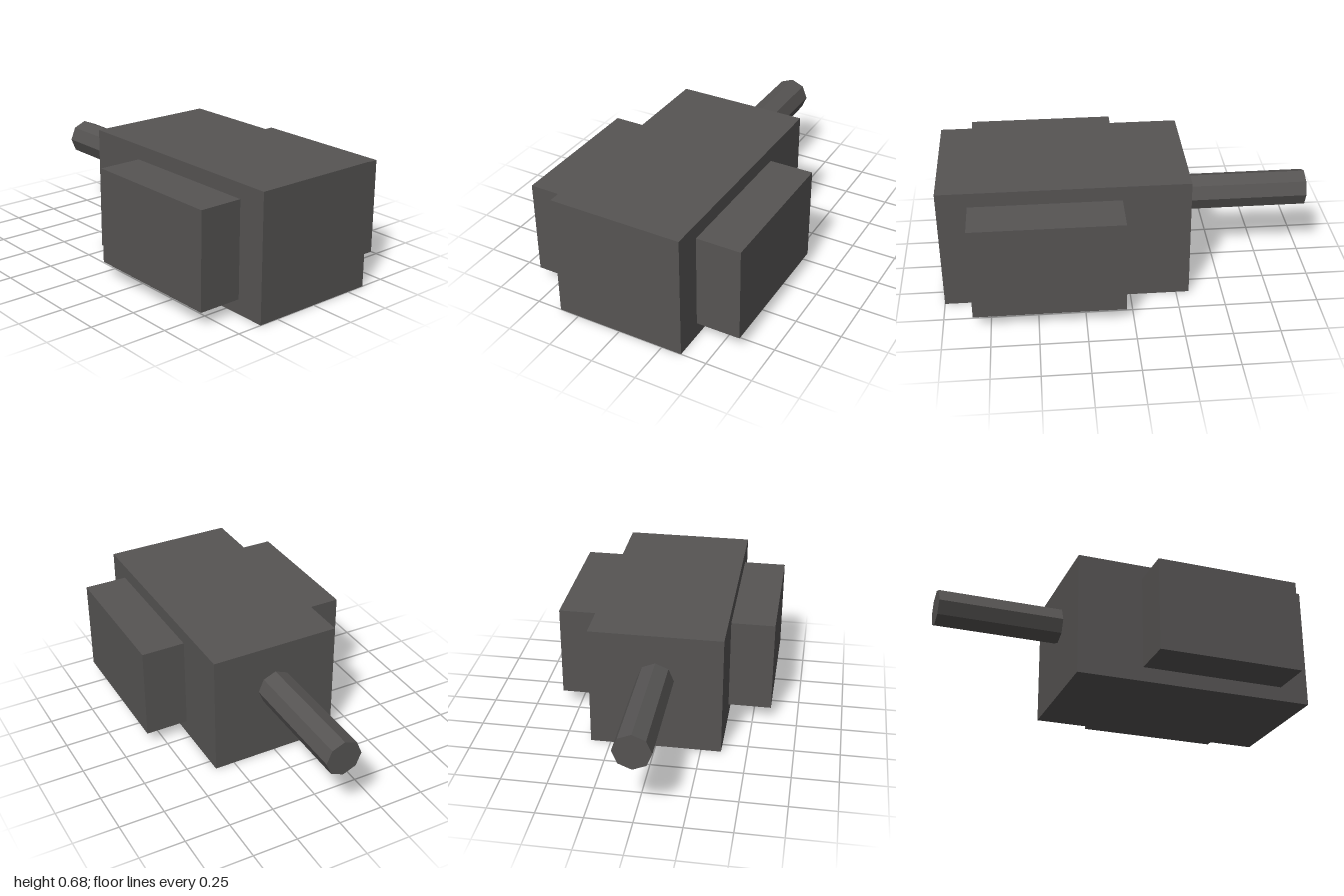
import * as THREE from 'three';

export function createModel() {
  const group = new THREE.Group();
  const darkGrey = new THREE.MeshStandardMaterial({ color: 0x565453, flatShading: true });
  darkGrey.name = 'darkGrey';

  const add = (name, geometry, x, y, z) => {
    const mesh = new THREE.Mesh(geometry, darkGrey);
    mesh.name = name;
    mesh.position.set(x, y, z);
    group.add(mesh);
    return mesh;
  };

  // Main block
  add('body', new THREE.BoxGeometry(0.72, 0.68, 1.32), 0, 0.34, 0.34);

  // Side blocks, mirrored
  for (const [name, side] of [['leftBlock', 1], ['rightBlock', -1]]) {
    add(name, new THREE.BoxGeometry(0.24, 0.52, 0.8), side * 0.48, 0.34, 0.44);
  }

  // Eight-sided rod out of the back
  const rod = new THREE.CylinderGeometry(0.1, 0.1, 0.68, 8).rotateX(Math.PI / 2);
  add('rearRod', rod, 0, 0.42, -0.66);

  return group;
}
